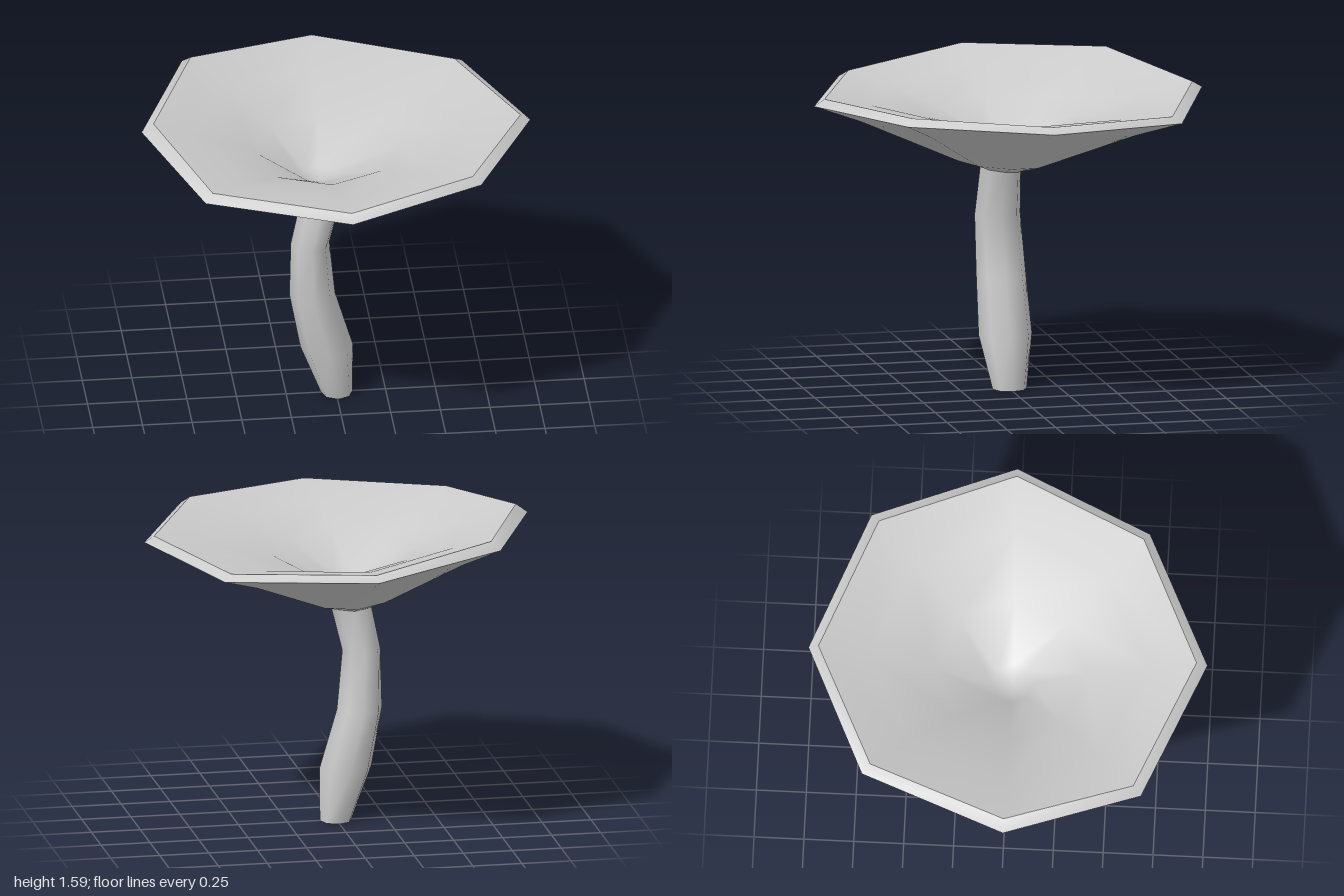
import * as THREE from 'three';
import { mergeVertices } from 'three/addons/utils/BufferGeometryUtils.js';

const SIDES = 8;
const material = new THREE.MeshStandardMaterial({ color: 0xcccccc });

// Smooth skin over a series of closed rings, each an array of SIDES points
function loft(name, rings) {
  const index = [];
  for (let i = 0; i < rings.length - 1; i++) {
    for (let j = 0; j < SIDES; j++) {
      const a = i * SIDES + j, b = i * SIDES + (j + 1) % SIDES;
      index.push(a, a + SIDES, b, b, a + SIDES, b + SIDES);
    }
  }
  let geometry = new THREE.BufferGeometry().setFromPoints(rings.flat());
  geometry.setIndex(index);
  geometry = mergeVertices(geometry, 1e-5);
  geometry.computeVertexNormals();
  const mesh = new THREE.Mesh(geometry, material);
  mesh.name = name;
  return mesh;
}

// Horizontal ring filling the given x and z extents
function ellipseRing(y, x0, x1, z0, z1) {
  return Array.from({ length: SIDES }, (_, j) => {
    const a = j / SIDES * Math.PI * 2;
    return new THREE.Vector3(
      (x0 + x1) / 2 + Math.cos(a) * (x1 - x0) / 2, y,
      (z0 + z1) / 2 + Math.sin(a) * (z1 - z0) / 2);
  });
}

const pointRing = (x, y, z) => Array.from({ length: SIDES }, () => new THREE.Vector3(x, y, z));

const toVectors = list => list.map(p => new THREE.Vector3(...p));

// Ring part of the way between two others, raised by lift
function between(from, to, t, lift) {
  return from.map((p, j) => {
    const q = p.clone().lerp(to[j], t);
    q.y += lift;
    return q;
  });
}

export function createModel() {
  const group = new THREE.Group();
  group.name = 'mushroom';

  // Bent stem
  const base = ellipseRing(0, -0.075, 0.085, -0.09, 0.085);
  const neck = ellipseRing(1.11, -0.18, 0.025, -0.08, 0.13);
  neck.forEach(p => { p.y += (p.z - 0.025) * 0.12; });
  group.add(loft('stem', [
    base,
    ellipseRing(0.27, -0.18, 0.085, -0.13, 0.145),
    ellipseRing(0.57, -0.235, -0.005, -0.115, 0.14),
    ellipseRing(0.87, -0.23, -0.035, -0.09, 0.145),
    neck,
  ]));
  group.add(loft('stemBase', [pointRing(0.005, 0, 0), base]));

  // Uneven octagonal edge of the cap, from the left side round by the front
  const outerRim = toVectors([
    [0.98, 1.49, 0], [0.66, 1.5, 0.68], [-0.02, 1.485, 1], [-0.73, 1.485, 0.7],
    [-0.98, 1.54, 0.02], [-0.7, 1.545, -0.7], [-0.02, 1.49, -1], [0.71, 1.46, -0.72],
  ]);
  const innerRim = toVectors([
    [0.93, 1.52, 0], [0.62, 1.535, 0.65], [-0.02, 1.52, 0.945], [-0.69, 1.52, 0.66],
    [-0.92, 1.585, 0.02], [-0.66, 1.585, -0.66], [-0.02, 1.52, -0.95], [0.67, 1.49, -0.68],
  ]);

  // Underside and bevelled rim
  group.add(loft('capUnderside', [
    neck, between(neck, outerRim, 0.13, -0.01), between(neck, outerRim, 0.71, 0.01), outerRim,
  ]));
  group.add(loft('capRim', [outerRim, innerRim]));

  // Shallow bowl, flat near the rim and dipping to a pit above the stem
  const pit = neck.map(p => p.clone().setY(p.y + 0.14));
  group.add(loft('capBowl', [
    innerRim, between(pit, innerRim, 0.7, 0.03), between(pit, innerRim, 0.33, 0.045),
    pit, pointRing(-0.075, 1.215, 0.025),
  ]));

  return group;
}
